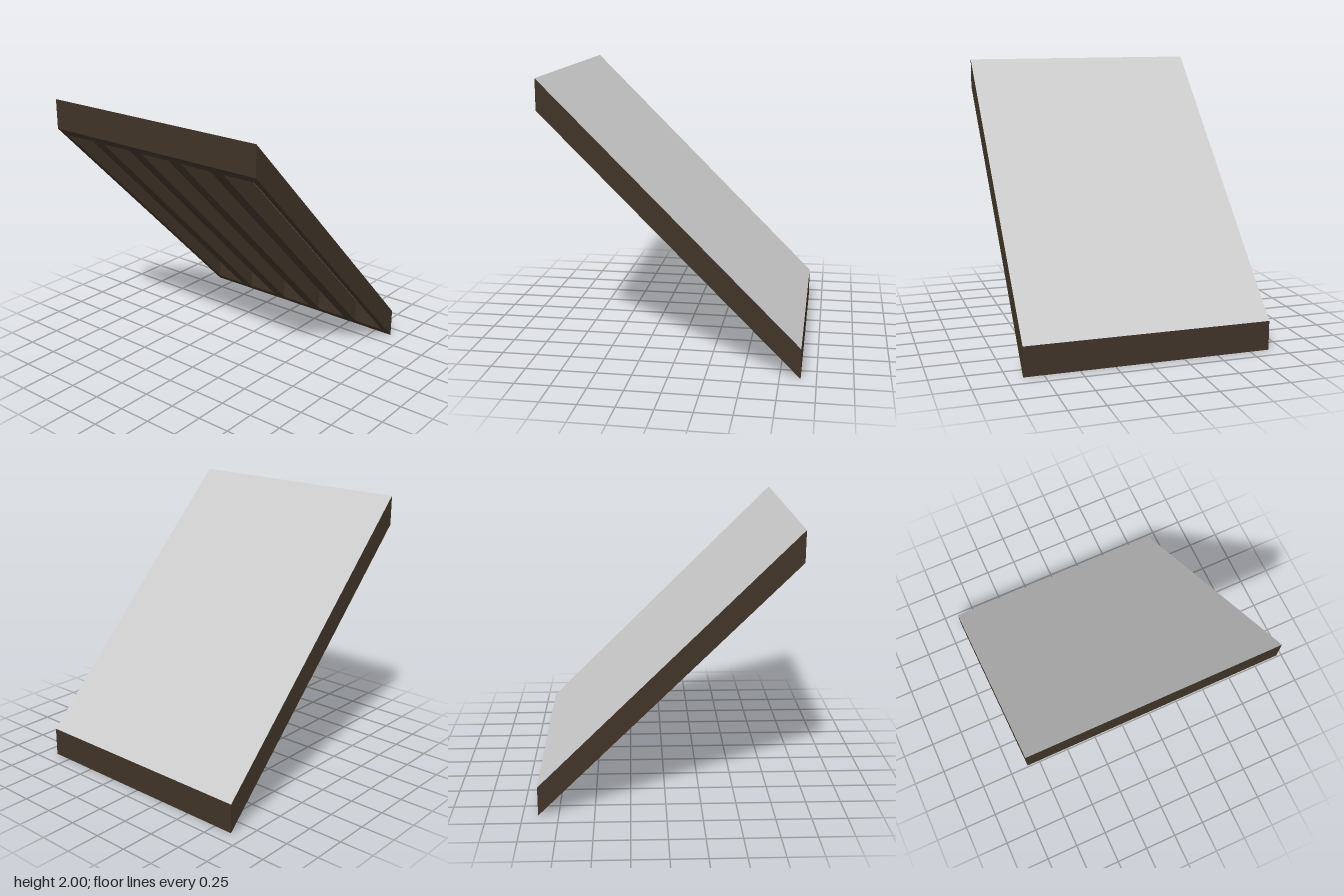
import * as THREE from 'three';

const UNIT = 2 / 5.6;           // grid unit of the ramp
const HALF = 2.5 * UNIT;        // half width and half run
const RIM = 0.15 * UNIT, BAY = 0.7 * UNIT, PITCH = UNIT, BAYS = 5;
const RIB_H = 0.5 * UNIT, DECK_H = 0.1 * UNIT;

const paint = (color) => new THREE.MeshStandardMaterial({ color });

// Tilt to a 45 degree slope by shearing, so end and side faces stay vertical
const slope = (geometry) => geometry.applyMatrix4(new THREE.Matrix4().set(
  1, 0, 0, 0,
  0, 1, 1, HALF,
  0, 0, 1, 0,
  0, 0, 0, 1));

function rect(path, x0, y0, x1, y1) {
  path.moveTo(x0, y0);
  path.lineTo(x1, y0);
  path.lineTo(x1, y1);
  path.lineTo(x0, y1);
  path.closePath();
  return path;
}

export function createModel() {
  const group = new THREE.Group();
  group.name = 'slopedPanel';
  const wood = paint(0x403428), lining = paint(0x8b8579), surface = paint(0xcccccc);

  // Rim and ribs: one outline with five long bays cut out
  const outline = rect(new THREE.Shape(), -HALF, -HALF, HALF, HALF);
  for (let i = 0; i < BAYS; i++) {
    const x = (i - (BAYS - 1) / 2) * PITCH;
    outline.holes.push(rect(new THREE.Path(), x - BAY / 2, -HALF + RIM, x + BAY / 2, HALF - RIM));
  }
  const frameGeo = new THREE.ExtrudeGeometry(outline, { depth: RIB_H, bevelEnabled: false });
  frameGeo.rotateX(-Math.PI / 2);
  const frame = new THREE.Mesh(slope(frameGeo), wood);
  frame.name = 'ribbedFrame';

  // Deck: grey on top, lighter lining underneath, wooden edges
  const deckGeo = new THREE.BoxGeometry(2 * HALF, DECK_H, 2 * HALF);
  deckGeo.translate(0, RIB_H + DECK_H / 2, 0);
  const deck = new THREE.Mesh(slope(deckGeo), [wood, wood, surface, lining, wood, wood]);
  deck.name = 'deck';

  group.add(frame, deck);
  return group;
}
